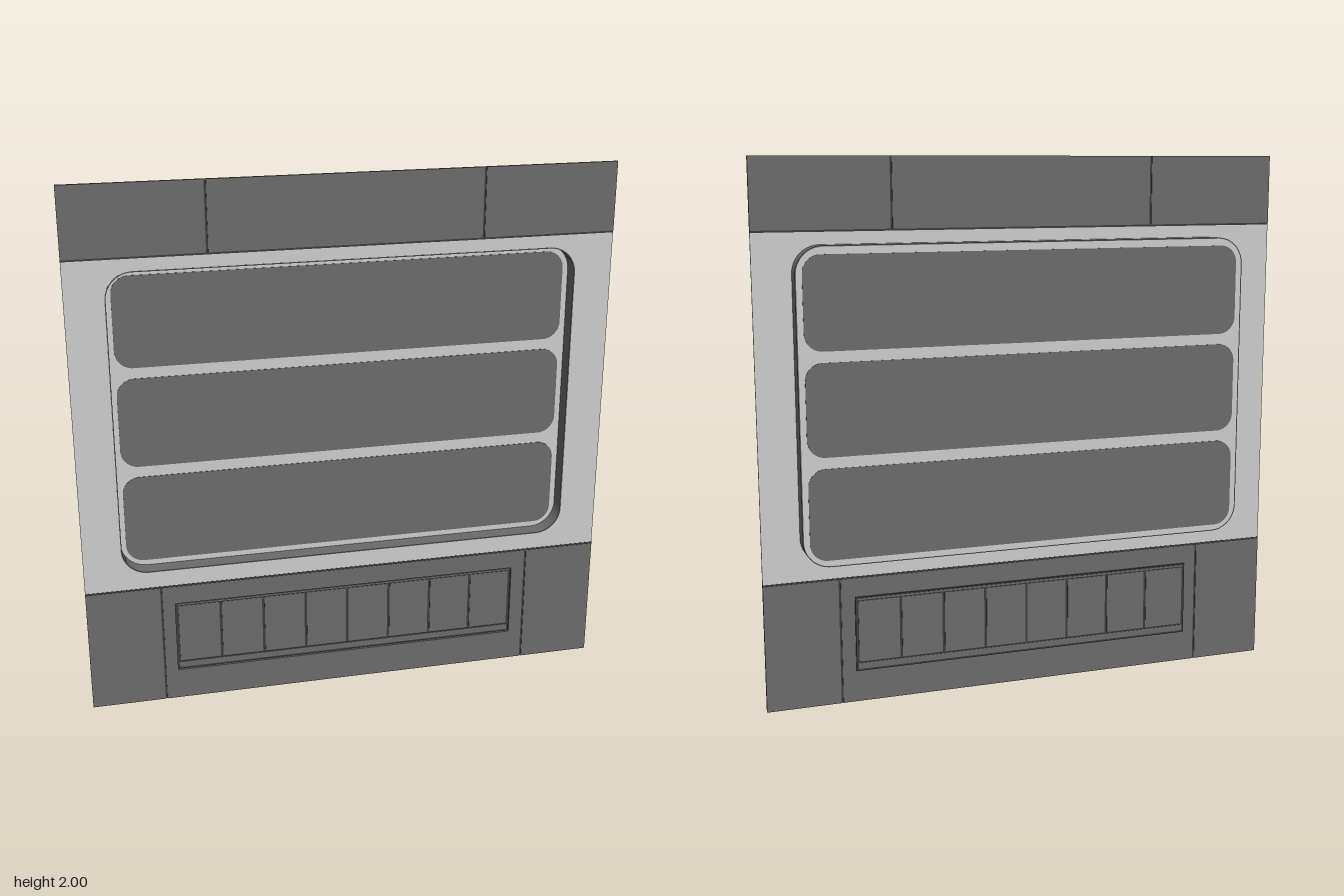
import * as THREE from 'three';

const material = (name, color) => {
  const m = new THREE.MeshStandardMaterial({ color });
  m.name = name;
  return m;
};

// Rounded rectangle (radius 0 gives sharp corners), written into a Shape or Path
function outline(path, x0, y0, x1, y1, r = 0) {
  path.moveTo(x0 + r, y0);
  path.lineTo(x1 - r, y0);
  if (r) path.absarc(x1 - r, y0 + r, r, -Math.PI / 2, 0);
  else path.lineTo(x1, y0);
  path.lineTo(x1, y1 - r);
  if (r) path.absarc(x1 - r, y1 - r, r, 0, Math.PI / 2);
  else path.lineTo(x1, y1);
  path.lineTo(x0 + r, y1);
  if (r) path.absarc(x0 + r, y1 - r, r, Math.PI / 2, Math.PI);
  else path.lineTo(x0, y1);
  path.lineTo(x0, y0 + r);
  if (r) path.absarc(x0 + r, y0 + r, r, Math.PI, Math.PI * 1.5);
  return path;
}

export function createModel() {
  const group = new THREE.Group();
  const dark = material('darkGrey', 0x6b6b6b);
  const light = material('lightGrey', 0xcccccc);
  const seam = material('seamGrey', 0x3c3c3c);

  // Plate between z0 and z1; outer and hole are [x0, y0, x1, y1, radius]
  function plate(name, mat, outer, z0, z1, hole) {
    const shape = outline(new THREE.Shape(), ...outer);
    if (hole) shape.holes.push(outline(new THREE.Path(), ...hole));
    const geo = new THREE.ExtrudeGeometry(shape, { depth: z1 - z0, bevelEnabled: false, curveSegments: 10 });
    geo.translate(0, 0, z0);
    const mesh = new THREE.Mesh(geo, mat);
    mesh.name = name;
    group.add(mesh);
  }

  const BACK = 0.025, FRONT = 0.035, GAP = 0.004;
  const recess = [-0.86, 0.545, 0.86, 1.695, 0.1];

  // Pale middle wall with the recess opening
  plate('middleWall', light, [-1, 0.48, 1, 1.742], 0.027, 0.033, recess);

  // Recess: side walls, back and three inset panels showing on both sides
  plate('recessWall', dark, recess, -0.033, 0.0335, [-0.856, 0.549, 0.856, 1.691, 0.096]);
  plate('recessBack', light, [-0.856, 0.549, 0.856, 1.691, 0.096], -0.033, -0.029);
  for (const [y0, y1] of [[0.57, 0.907], [0.948, 1.287], [1.327, 1.665]]) {
    plate('recessPanel', dark, [-0.835, y0, 0.835, y1, 0.065], -0.035, -0.027);
  }

  // Upper and lower bands, split by narrow seams
  const vent = [-0.67, 0.12, 0.665, 0.405];
  for (const [name, y0, y1, split, hole] of [
    ['upperPanel', 1.746, 2, 0.5, null],
    ['lowerPanel', 0, 0.476, 0.72, vent],
  ]) {
    plate(name + 'Left', dark, [split + GAP, y0, 1, y1], BACK, FRONT);
    plate(name + 'Right', dark, [-1, y0, -split - GAP, y1], BACK, FRONT);
    plate(name + 'Centre', dark, [-split + GAP, y0, split - GAP, y1], BACK, FRONT, hole);
    for (const s of [-split, split]) {
      plate('verticalSeam', seam, [s - GAP, y0, s + GAP, y1], 0.028, 0.032);
    }
  }
  plate('upperSeam', seam, [-1, 1.739, 1, 1.746], 0.026, 0.034);
  plate('lowerSeam', seam, [-1, 0.476, 1, 0.483], 0.026, 0.034);

  // Vent pocket with eight cells above a narrow sill
  plate('ventBacking', seam, vent, 0.019, 0.026);
  plate('ventSill', dark, [-0.662, 0.128, 0.657, 0.151], 0.017, 0.029);
  plate('ventTopRim', dark, [-0.662, 0.394, 0.657, 0.4], 0.017, 0.029);
  const pitch = 1.322 / 8;
  for (let i = 0; i < 8; i++) {
    const x = -0.663 + i * pitch;
    plate('ventCell', dark, [x + 0.005, 0.157, x + pitch - 0.005, 0.39], 0.017, 0.028);
  }
  return group;
}
